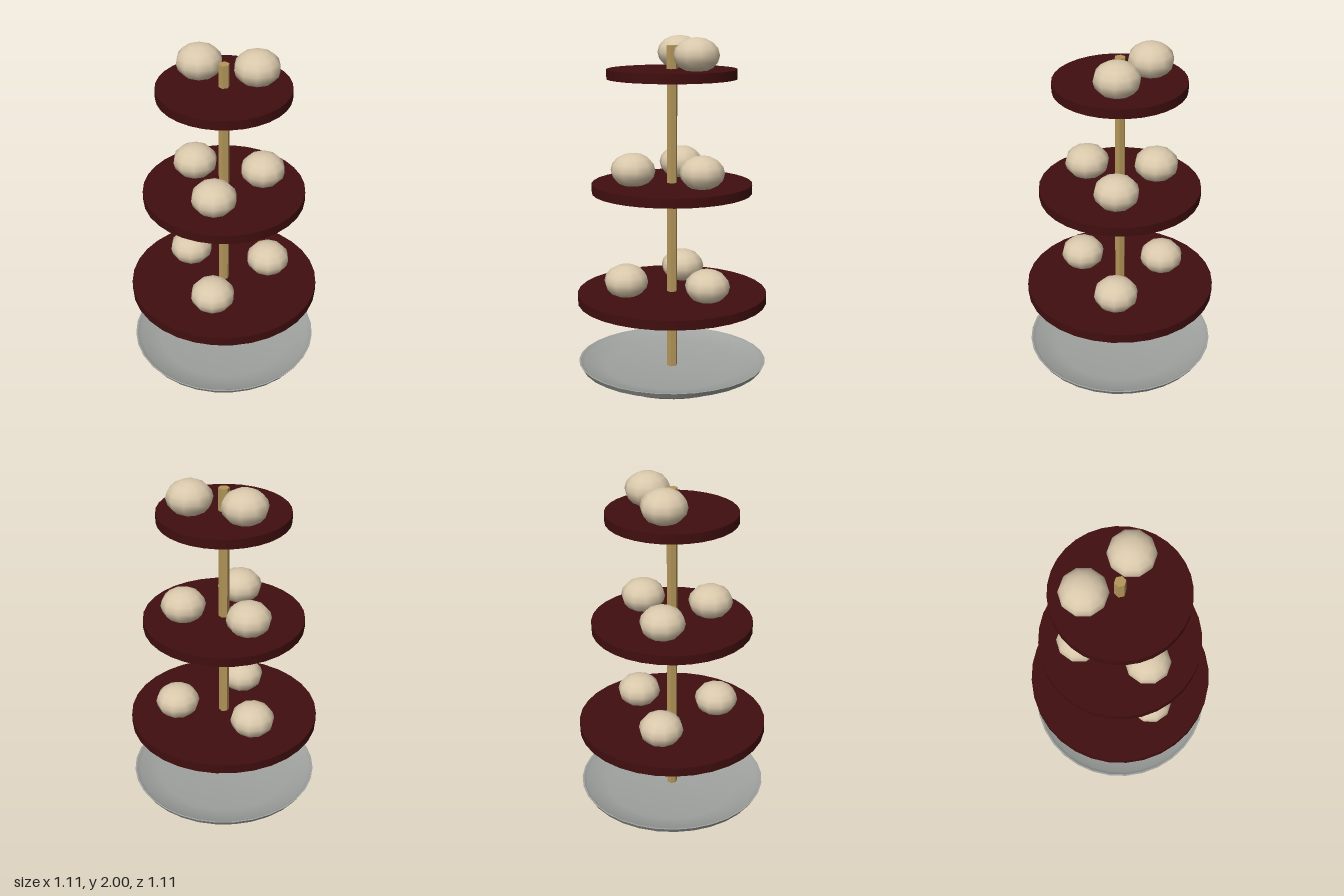
import * as THREE from 'three';
import { toCreasedNormals } from 'three/addons/utils/BufferGeometryUtils.js';

const material = (name, color, extra = {}) => {
  const m = new THREE.MeshStandardMaterial({ color, ...extra });
  m.name = name;
  return m;
};

export function createModel() {
  const wood = material('dark red wood', 0x400e0f);
  const brass = material('brass', 0xb3965a, { flatShading: true });
  const dough = material('cream dough', 0xd9c8ab);
  const metal = material('grey metal', 0xa0a3a0);

  const model = new THREE.Group();
  model.name = 'tieredStand';
  const add = (name, geometry, mat, x = 0, y = 0, z = 0, parent = model) => {
    const mesh = new THREE.Mesh(geometry, mat);
    mesh.name = name;
    mesh.position.set(x, y, z);
    parent.add(mesh);
    return mesh;
  };

  // Base plate: foot, waist, flared underside, rim and shallow dish
  const profile = [
    [0, 0], [0.39, 0], [0.405, 0.015], [0.35, 0.025], [0.4, 0.032],
    [0.535, 0.068], [0.555, 0.1], [0.545, 0.1], [0.525, 0.085],
    [0.4, 0.062], [0, 0.055],
  ].map(([r, y]) => new THREE.Vector2(r, y));
  add('basePlate', toCreasedNormals(new THREE.LatheGeometry(profile, 32), 0.5), metal);

  // Hexagonal centre pole, corners pointing along x
  const poleBottom = 0.04, poleTop = 1.95;
  const pole = new THREE.CylinderGeometry(0.031, 0.031, poleTop - poleBottom, 6);
  pole.rotateY(Math.PI / 6);
  add('centrePole', pole, brass, 0, (poleTop + poleBottom) / 2, 0);

  // Flattened buns, shared by every tier
  const bun = new THREE.SphereGeometry(0.129, 10, 8);
  bun.scale(1, 0.76, 1);

  // Tiers: disc radius, underside height, and number of buns
  const tiers = [
    { name: 'lowerTier', radius: 0.555, y: 0.465, buns: [0, 1, 2] },
    { name: 'middleTier', radius: 0.463, y: 1.115, buns: [0, 1, 2] },
    { name: 'upperTier', radius: 0.37, y: 1.765, buns: [0, 2] },
  ];
  for (const { name, radius, y, buns } of tiers) {
    const tier = new THREE.Group();
    tier.name = name;
    tier.position.y = y;
    model.add(tier);
    add('disc', new THREE.CylinderGeometry(radius, radius, 0.054, 32), wood, 0, 0.027, 0, tier);
    for (const i of buns) {
      const a = (i * Math.PI * 2) / 3;
      add('bun', bun, dough, Math.cos(a) * radius / 2, 0.138, Math.sin(a) * radius / 2, tier);
    }
  }
  return model;
}
